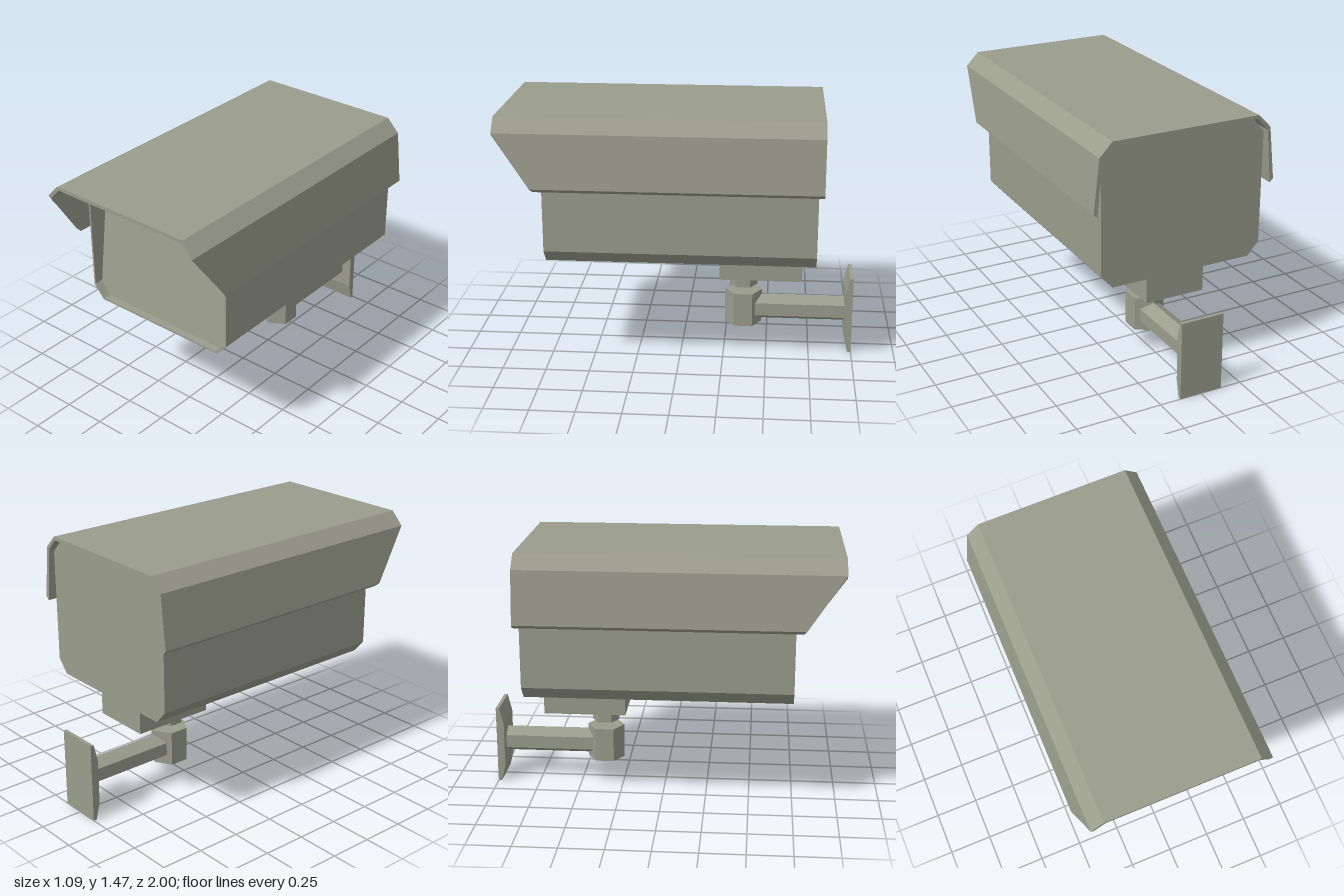
import * as THREE from 'three';

const metal = new THREE.MeshStandardMaterial({ color: 0x9a9c8c, flatShading: true });
metal.name = 'grey green metal';

function part(name, geometry, x = 0, y = 0, z = 0) {
  const mesh = new THREE.Mesh(geometry, metal);
  mesh.name = name;
  mesh.position.set(x, y, z);
  return mesh;
}

// Chamfered rectangle, counter-clockwise from the front; zAt gives the depth at a height
function octagon(w, y0, y1, cx, cy, zAt) {
  return [
    [w - cx, y0], [w, y0 + cy], [w, y1 - cy], [w - cx, y1],
    [cx - w, y1], [-w, y1 - cy], [-w, y0 + cy], [cx - w, y0],
  ].map(([x, y]) => [x, y, zAt(y)]);
}

// Skins a sequence of rings and closes both ends
function loft(rings) {
  const p = [];
  const n = rings[0].length;
  const tri = (a, b, c) => p.push(...a, ...b, ...c);
  for (let r = 0; r < rings.length - 1; r++) {
    for (let i = 0; i < n; i++) {
      const j = (i + 1) % n, s = rings[r], t = rings[r + 1];
      tri(s[i], s[j], t[j]);
      tri(s[i], t[j], t[i]);
    }
  }
  const first = rings[0], last = rings[rings.length - 1];
  for (let i = 1; i < n - 1; i++) {
    tri(first[0], first[i + 1], first[i]);
    tri(last[0], last[i], last[i + 1]);
  }
  const g = new THREE.BufferGeometry();
  g.setAttribute('position', new THREE.Float32BufferAttribute(p, 3));
  g.computeVertexNormals();
  return g;
}

const shapeOf = (points) => new THREE.Shape(points.map(([x, y]) => new THREE.Vector2(x, y)));

// Folded sheet whose side flaps are cut back at the front
function hoodGeometry() {
  const outer = [[0.435, 1.467], [0.509, 1.391], [0.543, 1.09]];
  const inner = [[0.522, 1.07], [0.493, 1.376], [0.428, 1.447]];
  const half = [...outer, ...inner];
  const mirrored = half.map(([x, y]) => [-x, y]).reverse();
  const g = new THREE.ExtrudeGeometry(shapeOf([...half, ...mirrored]), { depth: 1.8, bevelEnabled: false });
  g.translate(0, 0, -0.8);
  const pos = g.attributes.position;
  for (let i = 0; i < pos.count; i++) {
    if (pos.getZ(i) > 0 && pos.getY(i) < 1.2) pos.setZ(i, pos.getY(i) > 1.08 ? 0.795 : 0.78);
  }
  g.computeVertexNormals();
  return g;
}

export function createModel() {
  const model = new THREE.Group();
  model.name = 'securityCamera';

  // Housing with a thin rim and a recessed, leaning front pane
  const paneZ = (y) => 0.70 - 0.14 * (y - 0.65);
  model.add(part('housing', loft([
    octagon(0.487, 0.64, 1.437, 0.067, 0.076, () => -0.77),
    octagon(0.487, 0.64, 1.437, 0.067, 0.076, () => 0.74),
    octagon(0.476, 0.651, 1.426, 0.064, 0.073, () => 0.74),
    octagon(0.476, 0.651, 1.426, 0.064, 0.073, paneZ),
  ])));

  model.add(part('sunHood', hoodGeometry()));

  // Mount below the housing
  model.add(part('mountBlock', new THREE.BoxGeometry(0.354, 0.185, 0.475), 0, 0.5475, -0.4625));
  model.add(part('neck', new THREE.CylinderGeometry(0.081, 0.081, 0.088, 6), 0, 0.412, -0.36));
  model.add(part('pivot', new THREE.CylinderGeometry(0.109, 0.109, 0.202, 6), 0, 0.233, -0.36));

  // Hexagonal arm reaching back to the wall
  const arm = new THREE.CylinderGeometry(0.077, 0.077, 0.58, 6);
  arm.rotateX(Math.PI / 2);
  model.add(part('arm', arm, 0, 0.229, -0.67));

  // Wall plate with bevelled top and bottom, drawn in side profile
  const plate = new THREE.ExtrudeGeometry(
    shapeOf([[1, 0], [1, 0.46], [0.98, 0.46], [0.956, 0.36], [0.956, 0.1], [0.98, 0]]),
    { depth: 0.256, bevelEnabled: false });
  plate.translate(0, 0, -0.128);
  plate.rotateY(Math.PI / 2);
  model.add(part('wallPlate', plate));

  return model;
}
